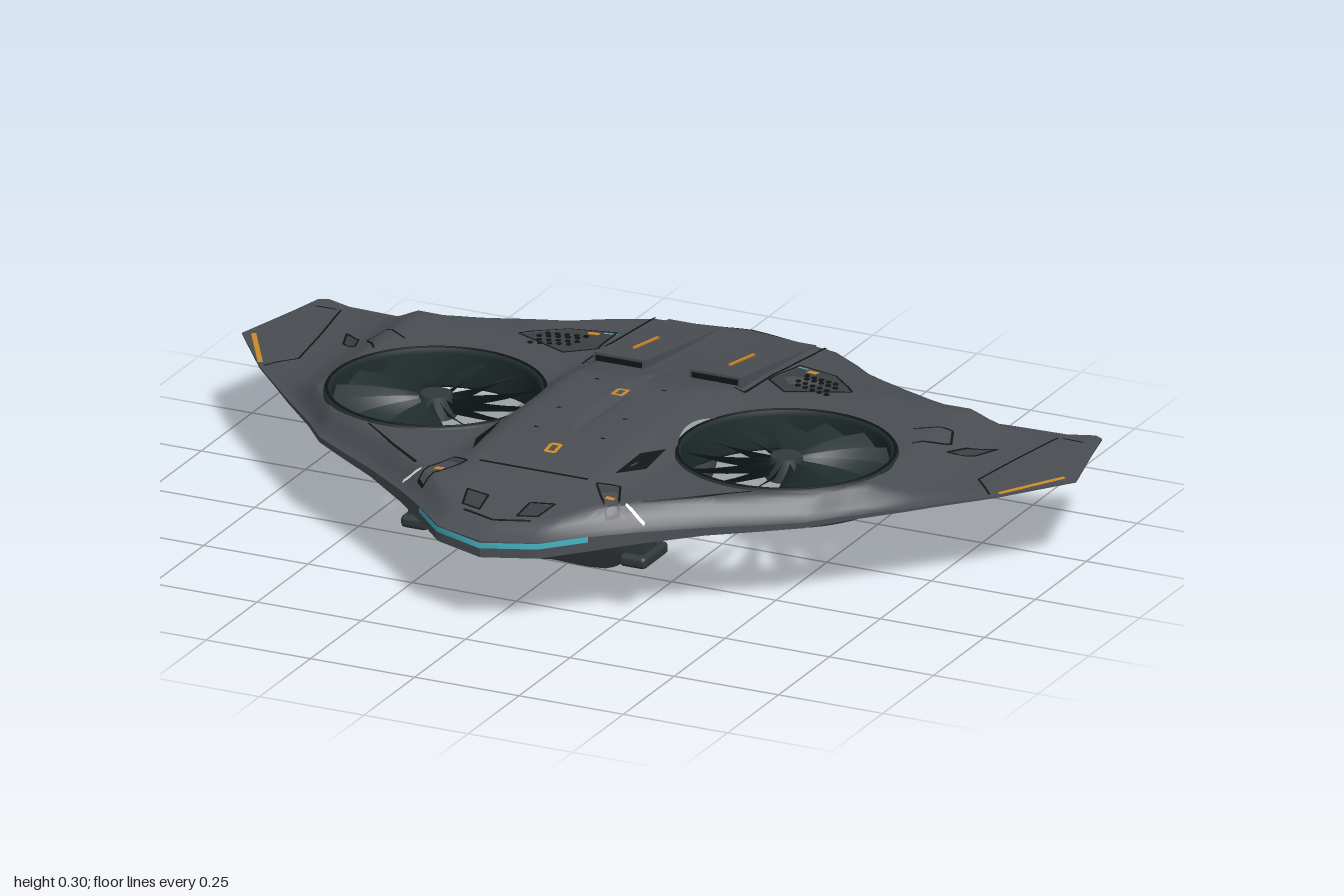
import * as THREE from 'three';
import { toCreasedNormals } from 'three/addons/utils/BufferGeometryUtils.js';
import { RoundedBoxGeometry } from 'three/addons/geometries/RoundedBoxGeometry.js';

const material = (name, color, side = THREE.DoubleSide) => {
  const m = new THREE.MeshStandardMaterial({ color, side });
  m.name = name;
  return m;
};
const hullMat = material('hull grey', 0x4a4e53, THREE.FrontSide);
const fanMat = material('fan green black', 0x202c2c);
const footMat = material('foot grey', 0x323a3c);
const lineMat = material('seam black', 0x121416);
const panelMat = material('panel grey', 0x3b4044);
const goldMat = material('marker amber', 0xd08a24);
const cyanMat = material('light cyan', 0x45b4c2);
const whiteMat = material('lamp white', 0xf4f6f6);

const smooth = THREE.MathUtils.smoothstep;
// piecewise linear lookup in [[key, value], ...]
function look(table, k) {
  for (let i = 1; i < table.length; i++) {
    const [a, p] = table[i - 1], [b, q] = table[i];
    if (k <= b) return p + (q - p) * Math.max(0, (k - a) / (b - a));
  }
  return table[table.length - 1][1];
}

// plan outline, upper ridge and wing thickness
const FRONT = [[0, .68], [.12, .64], [.2, .56], [.28, .49], [.4, .4], [.5, .335], [.58, .28], [.64, .21], [.74, .11], [.88, -.04], [1, -.2]];
const BACK = [[0, -.695], [.2, -.658], [.28, -.605], [.36, -.542], [.48, -.478], [.6, -.425], [.74, -.435], [.86, -.44], [.92, -.462], [.94, -.45], [.96, -.36], [1, -.2]];
const RIDGE = [[-.695, .195], [-.655, .226], [-.4, .25], [-.24, .268], [-.18, .285], [-.1, .301], [.15, .302], [.3, .292], [.4, .275], [.5, .252], [.6, .23], [.68, .207]];
const DECK = [[0, .255], [.66, .255], [.69, .238], [.74, .217], [.8, .208], [1, .204]];
const UNDER = [[0, .178], [.64, .178], [.72, .19], [.8, .197], [1, .2]];
const NOSE_EDGE = [[0, .165], [.2, .17], [.4, .185], [.8, .198], [1, .2]];
const TAIL_EDGE = [[0, .185], [.6, .185], [.8, .198], [1, .2]];
const FAN = { x: .42, z: .035, r: .235 };

const edgeBlend = (x, z) => smooth(Math.min((look(FRONT, x) - z) * .75, (z - look(BACK, x)) * .85), 0, .05);
function topY(px, z) {
  const x = Math.abs(px), ridge = look(RIDGE, z);
  const base = Math.min(look(DECK, x), ridge);
  const y = base + (ridge - base) * (1 - smooth(x, .14, .225));
  return .203 + (y - .203) * edgeBlend(x, z);
}
function bottomY(px, z) {
  const x = Math.abs(px), edge = look(z > 0 ? NOSE_EDGE : TAIL_EDGE, x);
  const y = look(UNDER, x) - .032 * (1 - smooth(x, .12, .25)) * smooth(z, .3, .48);
  return edge + (y - edge) * edgeBlend(x, z);
}

function meshFrom(positions, index, mat, name, crease) {
  let g = new THREE.BufferGeometry();
  g.setAttribute('position', new THREE.Float32BufferAttribute(positions, 3));
  g.setIndex(index);
  if (crease) g = toCreasedNormals(g, crease);
  else g.computeVertexNormals();
  const m = new THREE.Mesh(g, mat);
  m.name = name;
  return m;
}
// index list joining rows of n points
function gridIndex(rows, n) {
  const out = [];
  for (let i = 0; i < rows - 1; i++) for (let j = 0; j < n - 1; j++) {
    const a = i * n + j, d = a + n;
    out.push(a, a + 1, d, a + 1, d + 1, d);
  }
  return out;
}

// wing: closed fore-aft sections, with a round opening for each fan
function wing() {
  const pos = [], inside = [], index = [], N = 64, cols = 101, ring = 2 * N;
  for (let i = 0; i < cols; i++) for (let j = 0; j < ring; j++) {
    let x = -1 + i * .02;
    const ax = Math.abs(x), t = (j < N ? j : ring - 1 - j) / (N - 1), b = look(BACK, ax);
    let z = b + (look(FRONT, ax) - b) * t;
    const cx = Math.sign(x) * FAN.x, r = Math.hypot(x - cx, z - FAN.z);
    inside.push(r < FAN.r);
    if (r < FAN.r && r > 0) {
      x = cx + (x - cx) * FAN.r / r;
      z = FAN.z + (z - FAN.z) * FAN.r / r;
    }
    pos.push(x, j < N ? topY(x, z) : bottomY(x, z), z);
  }
  const tri = (...t) => { if (!t.every(k => inside[k])) index.push(...t); };
  for (let i = 0; i < cols - 1; i++) for (let j = 0; j < ring; j++) {
    const a = i * ring + j, b = i * ring + (j + 1) % ring;
    tri(a, b, a + ring);
    tri(b, b + ring, a + ring);
  }
  return meshFrom(pos, index, hullMat, 'wing', .6);
}

// belly pod: rounded trough lofted along z
function belly() {
  const V = (x, y, z) => new THREE.Vector3(x, y, z);
  const stations = [[.49, .17, .13], [.45, .138, .17], [.4, .1, .195], [.35, .052, .2], [.29, .022, .2], [.2, .02, .2], [.05, .035, .195], [-.04, .037, .195],
    [-.1, .03, .185], [-.15, .052, .17], [-.2, .1, .15], [-.25, .15, .125], [-.3, .182, .09]].map(s => V(...s));
  const half = [[1, 0], [.99, .25], [.95, .5], [.79, .83], [.6, .99]];
  const section = [...half, [0, 1], ...half.map(([x, t]) => [-x, t]).reverse()].map(([x, t]) => V(x, t, 0));
  const rows = new THREE.CatmullRomCurve3(stations).getPoints(40);
  const prof = new THREE.CatmullRomCurve3(section).getPoints(32);
  const pos = rows.flatMap(s => prof.flatMap(p => [p.x * s.z, .182 + (s.y - .182) * p.y, s.x]));
  return meshFrom(pos, gridIndex(rows.length, prof.length), hullMat, 'belly');
}

export function createModel() {
  const model = new THREE.Group();
  const add = (geo, mat, name, x = 0, y = 0, z = 0, parent = model) => {
    const m = new THREE.Mesh(geo, mat);
    m.name = name;
    m.position.set(x, y, z);
    parent.add(m);
    return m;
  };
  const box = (w, h, d) => new THREE.BoxGeometry(w, h, d);
  // ribbon draped over the upper surface
  const ribbon = (path, width, mat, name, lift = .003) => {
    const pos = [];
    for (let k = 1; k < path.length; k++) {
      const [x0, z0] = path[k - 1], [x1, z1] = path[k], len = Math.hypot(x1 - x0, z1 - z0);
      const n = Math.ceil(len / .015), nx = -(z1 - z0) / len * width / 2, nz = (x1 - x0) / len * width / 2;
      for (let i = 0; i <= n; i++) for (const s of [1, -1]) {
        const x = x0 + (x1 - x0) * i / n + nx * s, z = z0 + (z1 - z0) * i / n + nz * s;
        pos.push(x, topY(x, z) + lift, z);
      }
    }
    model.add(meshFrom(pos, gridIndex(pos.length / 6, 2), mat, name));
  };
  // flat polygon draped over the upper surface
  const plate = (pts, mat, name, lift = .003) => {
    const g = new THREE.ShapeGeometry(new THREE.Shape(pts.map(p => new THREE.Vector2(...p))));
    const p = g.attributes.position;
    for (let i = 0; i < p.count; i++) p.setXYZ(i, p.getX(i), topY(p.getX(i), p.getY(i)) + lift, p.getY(i));
    if (THREE.ShapeUtils.area(pts.map(([x, y]) => ({ x, y }))) !== 0) g.index.array.reverse();
    g.computeVertexNormals();
    add(g, mat, name);
  };

  model.add(wing(), belly());

  for (const s of [1, -1]) {
    const side = s > 0 ? 'left' : 'right';
    const flip = pts => pts.map(([x, z]) => [x * s, z]);
    const line = (pts, w, mat, name) => ribbon(flip(pts), w, mat, name);
    const outlined = (pts, name, mat = panelMat) => {
      plate(flip(pts), mat, name, .003);
      ribbon(flip([...pts, pts[0]]), .005, lineMat, name + 'Seam', .005);
    };

    // ducted fan
    const fan = new THREE.Group();
    fan.name = side + 'Fan';
    fan.position.set(FAN.x * s, 0, FAN.z);
    model.add(fan);
    const duct = [[.243, .172], [.23, .17], [.224, .178], [.224, .25], [.23, .26], [.24, .26], [.246, .25]].map(p => new THREE.Vector2(...p));
    add(new THREE.LatheGeometry(duct, 64), fanMat, 'duct', 0, 0, 0, fan);
    add(new THREE.TorusGeometry(.236, .004, 6, 64).rotateX(Math.PI / 2), lineMat, 'ductSeam', 0, .259, 0, fan);
    add(new THREE.CylinderGeometry(.034, .046, .05, 24), footMat, 'hub', 0, .222, 0, fan);
    const BLADES = 14, pitch = Math.PI * 2 / BLADES;
    for (let b = 0; b < BLADES; b++) {
      const pos = [];
      for (let i = 0; i <= 6; i++) for (let j = 0; j <= 3; j++) {
        const t = i / 6, r = .036 + .188 * t, c = j / 3;
        const a = pitch * (b + c * (.92 - .19 * t)) + .16 * t * t;
        pos.push(s * r * Math.cos(a), .24 - .035 * c, r * Math.sin(a));
      }
      fan.add(meshFrom(pos, gridIndex(7, 4), fanMat, 'blade'));
    }

    // landing feet
    for (const [end, z, top] of [['front', .412, .175], ['rear', -.325, .19]]) {
      add(box(.04, top - .125, .065), footMat, end + 'Strut', .262 * s, (top + .125) / 2, z + (top < .18 ? .01 : 0));
      add(new RoundedBoxGeometry(.064, .028, .12, 2, .01), footMat, end + 'Foot', .262 * s, .124, z);
    }

    // raised rear housing with a dark intake
    const housing = box(.14, .04, .37), hp = housing.attributes.position;
    for (let i = 0; i < hp.count; i++) {
      const fore = hp.getZ(i) > 0, up = hp.getY(i) > 0;
      hp.setY(i, up ? (fore ? .287 : .232) : .2);
      if (up) hp.setX(i, hp.getX(i) * .88);
    }
    housing.computeVertexNormals();
    add(housing, hullMat, side + 'RearHousing', .115 * s, 0, -.425);
    add(box(.11, .012, .006), lineMat, side + 'Intake', .115 * s, .275, -.239);
    const stripe = add(box(.006, .004, .12), goldMat, side + 'HousingStripe', .115 * s, .272, -.372);
    stripe.rotation.x = -.148;
    line([[.205, -.6], [.195, -.22], [.17, -.22]], .006, lineMat, side + 'HousingSeam');

    // vent panel with rows of holes
    outlined([[.395, -.33], [.315, -.415], [.215, -.445], [.2, -.32], [.26, -.27]].map(([x, z]) => [x + .005, z]), side + 'VentPanel');
    for (let i = 0; i < 5; i++) for (let j = 0; j < 4; j++) {
      const x = (.265 + i * .02 + (j % 2) * .01) * s, z = -.385 + j * .022 + i * .006;
      add(new THREE.CylinderGeometry(.006, .006, .003, 6), lineMat, 'ventHole', x, topY(x, z) + .004, z);
    }
    line([[.25, -.42], [.275, -.415]], .018, goldMat, side + 'VentMarker');
    line([[.215, -.438], [.245, -.432]], .007, cyanMat, side + 'VentLight');

    // wing markings
    line([[.972, -.2], [.885, -.055]], .011, goldMat, side + 'TipStripe');
    line([[.86, -.4], [.835, -.25], [.815, -.1], [.87, -.04]], .005, lineMat, side + 'TipSeam');
    line([[.87, -.4], [.92, -.4]], .005, lineMat, side + 'TipRearSeam');
    outlined([[.71, -.16], [.73, -.22], [.78, -.265], [.757, -.2]], side + 'WingHatch');
    line([[.735, -.22], [.75, -.215]], .012, goldMat, side + 'WingMarker');
    line([[.61, -.2], [.68, -.25], [.7, -.2], [.645, -.12]], .005, lineMat, side + 'WingSeam');
    line([[.46, .285], [.36, .37], [.27, .44]], .005, lineMat, side + 'LeadingSeam');

    // nose hatches, shoulder recesses and lamps
    outlined([[.155, .425], [.2, .4], [.24, .49], [.22, .51]], side + 'ShoulderHatch');
    line([[.195, .46], [.215, .46]], .014, goldMat, side + 'ShoulderMarker');
    outlined([[.05, .535], [.105, .525], [.09, .58], [.045, .59]], side + 'NoseHatch');
    plate(flip([[.198, .17], [.205, .28], [.17, .365], [.175, .25]]), lineMat, side + 'ShoulderRecess', .004);
    line([[0, .615], [.08, .595]], .005, lineMat, side + 'NoseSeam');
    line([[.245, .465], [.29, .465]], .006, whiteMat, side + 'Lamp');
    for (const z of [-.06, .13, .24]) line([[.075, z], [.085, z]], .006, lineMat, 'fastener');
    add(box(.006, .006, .045), goldMat, side + 'BellyStripe', .172 * s, .063, -.07);
    add(box(.022, .028, .05), goldMat, side + 'SensorBox', .024 * s, .02, .145);
    add(box(.012, .012, .012), lineMat, side + 'SensorTip', .02 * s, .006, .162);
  }

  // centre line markings
  for (const z of [-.01, .32])
    ribbon([[-.011, z - .016], [.011, z - .016], [.011, z + .016], [-.011, z + .016], [-.011, z - .016]], .008, goldMat, 'centreMarker');
  ribbon([[-.13, .415], [.13, .415]], .006, lineMat, 'noseCrossSeam');
  ribbon([[-.19, -.65], [0, -.66], [.19, -.65]], .005, lineMat, 'tailSeam');

  // light bar wrapped round the nose edge
  const bar = [-.2, -.12, 0, .12, .2].flatMap(x => [.187, .2].flatMap(y =>
    [x * 1.01, y + Math.abs(x) * .03, look(FRONT, Math.abs(x)) + .004]));
  model.add(meshFrom(bar, gridIndex(5, 2), cyanMat, 'noseLightBar'));

  // equipment bay under the belly
  add(box(.19, .014, .27), lineMat, 'bayPlate', 0, .024, .12);
  for (let i = 0; i < 7; i++) add(box(.11, .006, .007), panelMat, 'bayGrille', 0, .015, .01 + i * .014);
  for (const x of [-.05, 0, .05]) add(box(.007, .006, .1), panelMat, 'bayGrilleBar', x, .015, .052);
  add(box(.012, .006, .012), cyanMat, 'bayLight', .065, .015, .125);
  return model;
}
